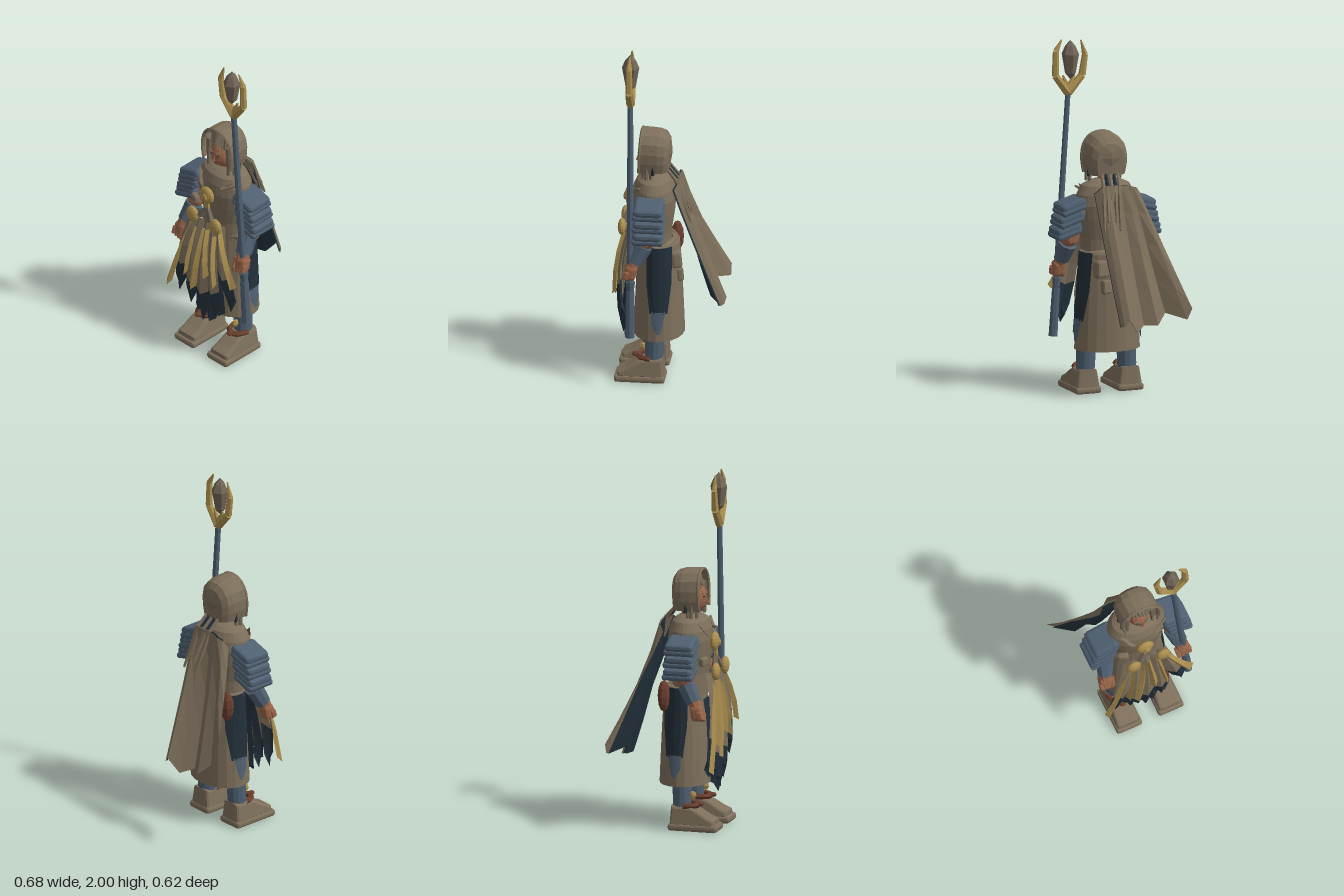
import * as THREE from 'three';
import { RoundedBoxGeometry } from 'three/addons/geometries/RoundedBoxGeometry.js';

const mat = (name, color) => new THREE.MeshStandardMaterial({ name, color, flatShading: true, side: THREE.DoubleSide });
const M = {
  cloth: mat('tan cloth', 0x7d6f5b), hair: mat('ash hair', 0x756a58), navy: mat('navy cloth', 0x222f39),
  steel: mat('blue steel', 0x4f6071), gold: mat('gold', 0xaa8e4f), skin: mat('skin', 0x9a654a),
  leather: mat('red leather', 0x6a3e2d), stone: mat('stone', 0x716557),
};
const CX = 0.027; // body centre line
const V = (p) => new THREE.Vector3(...p);

export function createModel() {
  const root = new THREE.Group();
  root.name = 'staffBearer';
  const add = (name, geo, m, p = [0, 0, 0], r = [0, 0, 0], s = [1, 1, 1]) => {
    const mesh = new THREE.Mesh(geo, m);
    mesh.name = name;
    mesh.position.set(...p); mesh.rotation.set(...r); mesh.scale.set(...s);
    root.add(mesh);
    return mesh;
  };
  const ball = (name, m, p, s, w = 12, h = 8) => add(name, new THREE.SphereGeometry(1, w, h), m, p, [0, 0, 0], s);
  // tapered cylinder from a to b
  const rod = (name, m, a, b, ra, rb, n = 8) => {
    const A = V(a), B = V(b), d = B.clone().sub(A);
    const mesh = add(name, new THREE.CylinderGeometry(rb, ra, d.length(), n), m, A.clone().add(B).multiplyScalar(0.5).toArray());
    mesh.quaternion.setFromUnitVectors(new THREE.Vector3(0, 1, 0), d.normalize());
    return mesh;
  };
  // surface through rows of points
  const sheet = (name, m, rows) => {
    const n = rows[0].length, idx = [];
    for (let i = 0; i < rows.length - 1; i++) for (let j = 0; j < n - 1; j++) {
      const a = i * n + j;
      idx.push(a, a + n, a + 1, a + 1, a + n, a + n + 1);
    }
    const g = new THREE.BufferGeometry();
    g.setAttribute('position', new THREE.Float32BufferAttribute(rows.flat(2), 3));
    g.setIndex(idx);
    g.computeVertexNormals();
    return add(name, g, m);
  };
  const lathe = (pts, n) => new THREE.LatheGeometry(pts.map((p) => new THREE.Vector2(...p)), n);

  // torso, belt and skirt
  add('torso', lathe([[0.14, 0.76], [0.145, 0.88], [0.168, 0.99], [0.178, 1.07], [0.168, 1.13], [0.14, 1.18], [0.1, 1.2], [0.05, 1.215], [0, 1.215]], 28),
    M.cloth, [CX, 0, 0.092], [0, 0, 0], [1, 1, 0.69]);
  const hem = [[0.19, 0.25], [0.182, 0.4], [0.17, 0.6], [0.152, 0.8]];
  add('skirt', lathe([[0, 0.28], [0.15, 0.27], ...hem, [0.1, 0.82]], 20), M.cloth, [CX, 0, 0.065], [0, 0, 0], [1, 1, 0.76]);
  add('belt', new THREE.TorusGeometry(0.148, 0.018, 6, 20), M.cloth, [CX, 0.79, 0.07], [Math.PI / 2, 0, 0], [1, 0.7, 1.4]);
  add('beltPouch', new RoundedBoxGeometry(0.09, 0.1, 0.06, 1, 0.015), M.cloth, [0.1, 0.72, -0.035], [0.1, 0.3, 0]);
  add('smallPouch', new RoundedBoxGeometry(0.06, 0.08, 0.04, 1, 0.012), M.cloth, [0.08, 0.62, -0.055], [0.1, 0.3, 0]);
  ball('leatherFlask', M.leather, [-0.125, 0.76, -0.02], [0.045, 0.09, 0.036], 8, 6);

  for (const s of [-1, 1]) {
    const X = (d) => CX + s * d;
    // dark opening in each side of the skirt
    const slit = (name, m, rows) => sheet(name, m, rows.map(([y, z0, z1]) => [0, 1, 2, 3, 4].map((k) => {
      const z = z0 + (z1 - z0) * k / 4, r = 0.2 - (y - 0.25) * 0.066, c = (z - 0.065) / (r * 0.76);
      return [X(r * Math.sqrt(1 - c * c) + 0.003), y, z];
    })));
    slit('sideSlit', M.navy, [[0.81, -0.02, 0.12], [0.6, -0.02, 0.12], [0.42, 0.0, 0.1]]);
    slit('slitTrouser', M.steel, [[0.43, 0.01, 0.09], [0.36, 0.025, 0.09], [0.3, 0.04, 0.06]]);

    // legs and boots
    rod('shin', M.steel, [X(0.125), 0.12, 0.08], [X(0.115), 0.45, 0.075], 0.052, 0.062, 12);
    add('ankleStrap', new THREE.TorusGeometry(0.054, 0.014, 5, 10, Math.PI), M.leather, [X(0.125), 0.142, 0.1], [Math.PI / 2, 0, 0], [1, 1.3, 1.2]);
    ball('strapKnot', M.leather, [X(0.125), 0.148, 0.185], [0.02, 0.014, 0.022], 6, 4);
    ball('shinStud', M.gold, [X(0.125), 0.195, 0.14], [0.016, 0.024, 0.024], 6, 4);
    const side = new THREE.Shape([[0.035, 0.04], [0.27, 0.04], [0.268, 0.055], [0.225, 0.075], [0.175, 0.105], [0.14, 0.122], [0.04, 0.125]].map((p) => new THREE.Vector2(...p)));
    const boot = new THREE.ExtrudeGeometry(side, { depth: 0.095, bevelSize: 0.014, bevelThickness: 0.022, bevelSegments: 2 });
    boot.translate(0, 0, -0.0475).rotateY(-Math.PI / 2);
    const bp = boot.attributes.position; // the upper narrows toward the ankle
    for (let i = 0; i < bp.count; i++) bp.setX(i, bp.getX(i) * (1 - 2.2 * Math.max(0, bp.getY(i) - 0.04)));
    add('boot', boot, M.cloth, [X(0.128), 0, 0]);
    add('sole', new RoundedBoxGeometry(0.155, 0.04, 0.285, 1, 0.014), M.cloth, [X(0.128), 0.02, 0.157]);

    // arms, bracers and fists
    ball('shoulder', M.cloth, [X(0.155), 1.04, 0.095], [0.055, 0.075, 0.07]);
    rod('upperArm', M.skin, [X(0.18), 1.06, 0.09], [X(0.208), 0.87, 0.11], 0.055, 0.05);
    ball('elbow', M.skin, [X(0.208), 0.88, 0.115], [0.054, 0.05, 0.054], 10, 6);
    rod('bracer', M.steel, [X(0.211), 0.845, 0.13], [X(0.23), 0.75, 0.18], 0.054, 0.045);
    rod('wrist', M.skin, [X(0.228), 0.77, 0.175], [X(0.237), 0.71, 0.2], 0.038, 0.036);
    add('palm', new RoundedBoxGeometry(0.075, 0.09, 0.068, 1, 0.02), M.skin, [X(0.238), 0.695, 0.2], [-0.2, 0, 0]);
    for (let i = 0; i < 4; i++)
      add('finger', new RoundedBoxGeometry(0.024, 0.05, 0.034, 1, 0.008), M.skin, [X(0.207 + i * 0.021), 0.665 + i * 0.006, 0.222], [-0.3, 0, 0]);
    rod('thumb', M.skin, [X(0.2), 0.72, 0.205], [X(0.203), 0.67, 0.235], 0.016, 0.012, 6);

    // stacked shoulder plates
    for (let i = 0; i < 3; i++) {
      const tilt = -s * 0.3, d = 0.208 + i * 0.014, y = 1.072 - i * 0.067;
      add('shoulderPlate', new RoundedBoxGeometry(0.152, 0.062, 0.165, 1, 0.02), M.steel, [X(d), y, 0.1], [0, 0, tilt]);
      add('plateLip', new RoundedBoxGeometry(0.148, 0.034, 0.178, 1, 0.014), M.steel, [X(d + 0.005), y - 0.02, 0.1], [0, 0, tilt]);
    }
    // crossed chest straps
    sheet('chestStrap', M.cloth, [[1.165, 0.115, 0.176], [1.09, 0.07, 0.22], [1.0, 0.0, 0.227]].map(([y, d, z]) => [[X(d - 0.02), y - 0.015, z], [X(d + 0.015), y + 0.015, z - 0.004]]));
    ball('hipDisc', M.gold, [X(0.09), 0.905, 0.265], [0.043, 0.05, 0.024], 14, 8);

    // face details
    add('eye', new THREE.BoxGeometry(0.016, 0.005, 0.006), M.navy, [X(0.026), 1.314, 0.179], [0, s * 0.4, 0]);
    add('brow', new THREE.BoxGeometry(0.028, 0.005, 0.008), M.hair, [X(0.027), 1.33, 0.178], [0, s * 0.4, s * 0.15]);
  }

  // head
  rod('neck', M.skin, [CX, 1.17, 0.085], [CX, 1.27, 0.09], 0.05, 0.042);
  ball('head', M.skin, [CX, 1.305, 0.1], [0.068, 0.095, 0.086], 16, 12);
  add('nose', new THREE.ConeGeometry(0.01, 0.038, 4), M.skin, [CX, 1.297, 0.187], [-0.15, Math.PI / 4, 0]);
  add('mouth', new THREE.BoxGeometry(0.028, 0.005, 0.006), M.leather, [CX, 1.255, 0.173]);

  // hair
  ball('hairCap', M.hair, [CX, 1.34, 0.07], [0.1, 0.105, 0.08]);
  for (const s of [-1, 1]) for (let i = 0; i < 6; i++)
    rod('sideLock', i === 5 ? M.navy : M.hair, [CX + s * (0.074 + (i % 3) * 0.01), 1.38, 0.145 - i * 0.009],
      [CX + s * (0.078 + (i % 3) * 0.012), 1.2 + (i % 2) * 0.03, 0.15 - i * 0.012], 0.018, 0.01, 5);
  for (let i = 0; i < 8; i++) {
    const x = -0.065 + i * 0.0186;
    rod('fringe', M.hair, [CX + x * 0.8, 1.425, 0.12], [CX + x + 0.008, 1.38 - (i % 3) * 0.01 - Math.abs(x) * 0.4, 0.17 - Math.abs(x) * 0.4], 0.02, 0.009, 5);
  }

  // hood: an arch swept back and closed behind
  const arch = [[-0.103, 0], [-0.115, 0.25], [-0.117, 0.5], [-0.103, 0.75], [-0.068, 0.93], [-0.025, 1],
    [0.025, 1], [0.068, 0.93], [0.103, 0.75], [0.117, 0.5], [0.115, 0.25], [0.103, 0]];
  const hoodRow = ([z, sx, sy]) => arch.map(([x, h]) => [CX + x * sx, 1.24 + 0.232 * h * sy, z + 0.01 * (1 - h)]);
  sheet('hood', M.cloth, [[0.16, 0.97, 1], [0.11, 1, 0.99], [0.06, 1, 0.97], [0.025, 0.92, 0.92], [0.002, 0.7, 0.78], [-0.008, 0, 0.55]].map(hoodRow));
  add('hoodRim', new THREE.TubeGeometry(new THREE.CatmullRomCurve3(hoodRow([0.16, 0.95, 0.97]).map(V)), 24, 0.009, 5), M.cloth);

  // braids and cords lying over the cape behind the neck
  for (let i = 0; i < 5; i++) {
    const x = -0.015 + i * 0.024;
    rod('braidTop', i % 2 ? M.navy : M.cloth, [x, 1.25, 0.012], [x + 0.01, 1.18, -0.045], 0.009, 0.013, 5);
    rod('braid', M.cloth, [x + 0.01, 1.19, -0.04], [x + 0.035, 0.95 + (i % 2) * 0.05, -0.125], 0.016, 0.007, 5);
  }

  // cape: each fold runs from a collar point to a hem point, the last number sets its sag
  const folds = [
    [-0.14, 1.13, -0.02, -0.34, 0.51, -0.3, 1.1], [-0.11, 1.17, -0.045, -0.31, 0.45, -0.3, 1.1], [-0.08, 1.18, -0.055, -0.21, 0.48, -0.215, 1.3],
    [-0.05, 1.19, -0.05, -0.15, 0.42, -0.26, 1.2], [-0.01, 1.19, -0.05, -0.08, 0.42, -0.22, 1.4], [0.04, 1.19, -0.06, -0.02, 0.39, -0.28, 1.2],
    [0.08, 1.19, -0.06, 0.04, 0.47, -0.315, 1.05], [0.11, 1.18, -0.05, 0.07, 0.44, -0.305, 1.05], [0.14, 1.15, -0.03, 0.085, 0.43, -0.285, 1.05],
  ];
  const cape = (cols, dz) => [0, 0.2, 0.45, 0.75, 0.92, 1].map((t) => cols.map(([x, y, z, X, Y, Z, e]) =>
    [x + (X - x) * t, y + (Y - y) * t, z + (Z - z) * t ** e + dz]));
  sheet('cape', M.cloth, cape(folds, 0));
  sheet('capeLining', M.navy, cape(folds.slice(1), 0.01));

  // ragged tabard strips with a central fold; tip is the length of the dark end
  const strip = (name, m, a, b, w0, w1, tip = 0) => {
    const A = V(a), B = V(b), dir = B.clone().sub(A).normalize();
    const row = (p, w, drop = 0) => [[p.x - w / 2, p.y, p.z - 0.015], [p.x, p.y - drop, p.z + 0.008], [p.x + w / 2, p.y + drop * 0.4, p.z - 0.015]];
    sheet(name, m, [0, 0.33, 0.67, 1].map((t) => {
      const p = A.clone().lerp(B, t);
      p.z += 0.015 * Math.sin(t * Math.PI);
      return row(p, w0 + (w1 - w0) * t, t === 1 ? 0.02 : 0);
    }));
    const end = (k, back) => B.clone().addScaledVector(dir, tip * k).setZ(B.z - back);
    if (tip) sheet(name + 'Tip', M.navy, [row(B, w1, 0.02), row(end(0.6, 0.01), w1 * 0.85, 0.02), row(end(0.85, 0.03), w1 * 0.4, 0.05)]);
  };
  for (const [x0, y0, x1, y1, w0, w1, tip] of [
    [-0.075, 0.9, -0.14, 0.55, 0.07, 0.1, 0.22], [-0.03, 0.88, -0.07, 0.46, 0.06, 0.09, 0.16], [0.025, 0.88, 0.015, 0.42, 0.07, 0.09, 0.2],
    [0.075, 0.88, 0.1, 0.46, 0.06, 0.09, 0.18], [0.12, 0.9, 0.19, 0.6, 0.06, 0.1, 0.22]])
    strip('tabard', M.cloth, [x0, y0, 0.235], [x1, y1, 0.28], w0, w1, tip);
  for (const [x, y] of [[-0.11, 0.37], [-0.03, 0.27], [0.06, 0.24], [0.13, 0.31]])
    strip('underTabard', M.navy, [CX + (x - CX) * 0.6, 0.75, 0.215], [x, y, 0.25], 0.07, 0.07);
  for (const [x0, y0, x1, y1, w] of [[-0.085, 0.84, -0.23, 0.37, 0.04], [0.01, 0.84, -0.045, 0.43, 0.055], [0.035, 0.84, 0.055, 0.55, 0.045], [0.13, 0.88, 0.268, 0.58, 0.06], [-0.05, 0.82, -0.1, 0.5, 0.025], [0.09, 0.82, 0.13, 0.52, 0.02]])
    strip('goldRibbon', M.gold, [x0, y0, 0.255], [x1, y1, 0.295], 0.024, w);

  // chest medallion, knot and side purse
  ball('medallion', M.gold, [0.02, 1.06, 0.235], [0.052, 0.054, 0.025], 14, 8);
  ball('medallionBoss', M.gold, [0.025, 1.055, 0.255], [0.022, 0.025, 0.014], 6, 4);
  add('medallionDrop', new THREE.BoxGeometry(0.035, 0.06, 0.015), M.gold, [0.025, 1.0, 0.24]);
  for (const s of [-1, 1]) rod('knot', M.stone, [0.025, 0.99, 0.235], [0.025 + s * 0.045, 0.91, 0.25], 0.012, 0.022, 5);
  rod('strapEnd', M.cloth, [0.1, 1.12, 0.2], [0.18, 1.165, 0.16], 0.016, 0.006, 5);
  add('chestPurse', new RoundedBoxGeometry(0.06, 0.05, 0.035, 1, 0.01), M.cloth, [-0.1, 0.965, 0.205], [0, -0.4, 0.1]);

  // staff
  rod('staffShaft', M.steel, [0.29, 0.45, 0.2], [0.204, 1.7, 0.208], 0.02, 0.016);
  rod('staffGrip', M.steel, [0.298, 0.31, 0.2], [0.28, 0.58, 0.2], 0.027, 0.024);
  rod('gripCollar', M.steel, [0.28, 0.575, 0.2], [0.276, 0.64, 0.2], 0.019, 0.027);
  const prongs = [
    [[0.205, 1.69], [0.12, 1.785], [0.102, 1.9], [0.127, 1.985]],
    [[0.205, 1.69], [0.28, 1.79], [0.278, 1.93], [0.243, 1.995]],
  ];
  for (const p of prongs) for (let i = 0; i < 3; i++)
    rod('staffProng', M.gold, [...p[i], 0.207], [...p[i + 1], 0.207], [0.025, 0.021, 0.017][i], [0.021, 0.017, 0.004][i], 6);
  for (const s of [-1, 1]) rod('crystalClaw', M.gold, [0.203, 1.715, 0.207], [0.2 + s * 0.035, 1.79, 0.207], 0.02, 0.006, 5);
  add('crystal', lathe([[0, 1.765], [0.03, 1.8], [0.049, 1.91], [0.03, 1.955], [0, 1.99]], 6), M.stone, [0.19, 0, 0.208]);

  return root;
}
